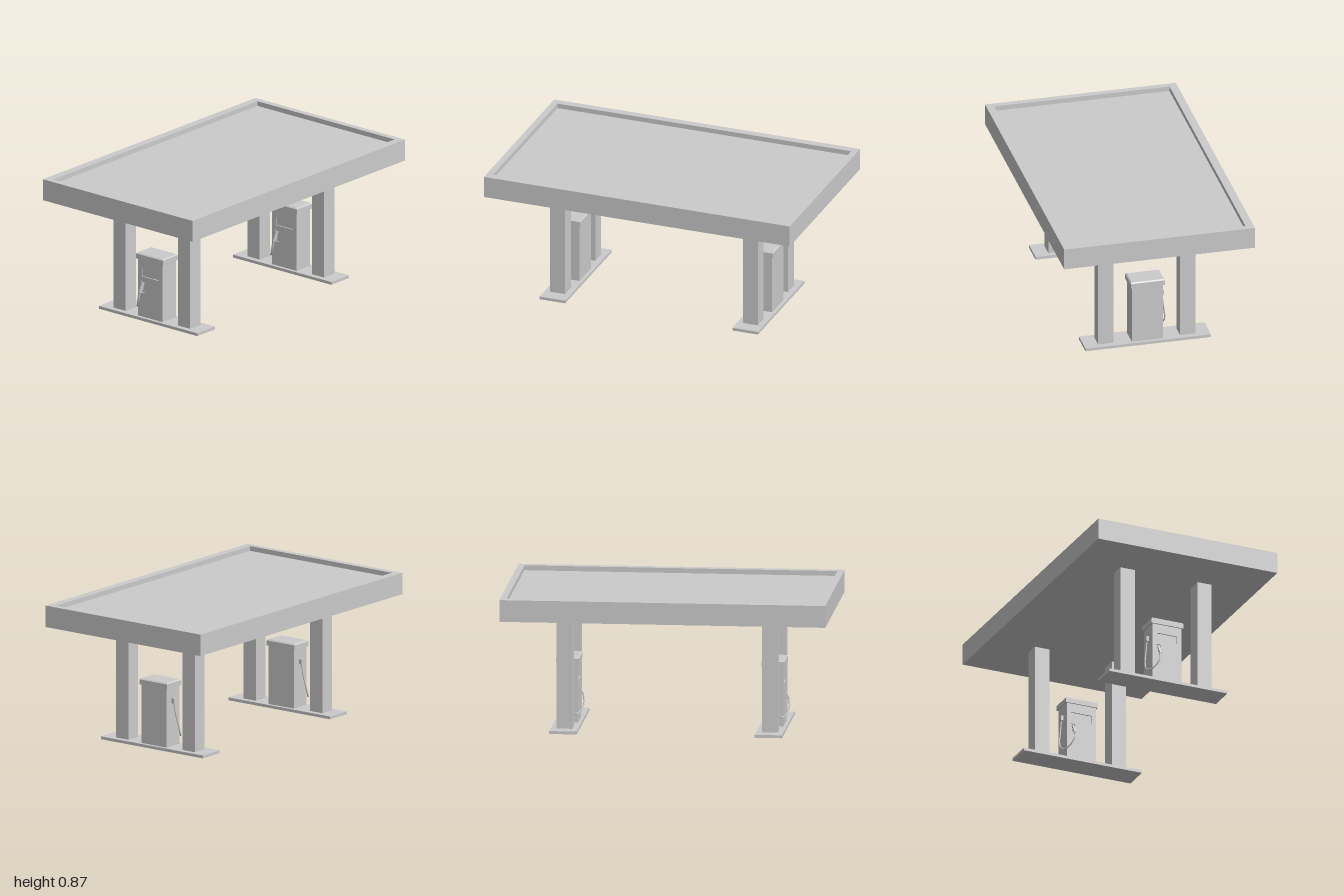
import * as THREE from 'three';

const material = new THREE.MeshStandardMaterial({ color: 0xcccccc });

function add(parent, name, geometry, x = 0, y = 0, z = 0) {
  const mesh = new THREE.Mesh(geometry, material);
  mesh.name = name;
  mesh.position.set(x, y, z);
  parent.add(mesh);
  return mesh;
}

// Box placed by its bottom height
function box(parent, name, w, h, d, x, y, z) {
  return add(parent, name, new THREE.BoxGeometry(w, h, d), x, y + h / 2, z);
}

// Closed rectangle from corner to corner
function rect(Type, x0, y0, x1, y1) {
  return new Type([[x0, y0], [x1, y0], [x1, y1], [x0, y1]].map(p => new THREE.Vector2(...p)));
}

// Rectangular plate with rectangular holes
function plate(outer, holes, depth) {
  const shape = rect(THREE.Shape, ...outer);
  shape.holes = holes.map(h => rect(THREE.Path, ...h));
  return new THREE.ExtrudeGeometry(shape, { depth, bevelEnabled: false });
}

function createCanopy() {
  const canopy = new THREE.Group();
  canopy.name = 'canopy';
  box(canopy, 'canopyRoof', 1.2, 0.105, 2, 0, 0.73, 0);
  const rim = plate([-0.6, -1, 0.6, 1], [[-0.55, -0.96, 0.55, 0.96]], 0.03);
  add(canopy, 'canopyRim', rim.rotateX(-Math.PI / 2), 0, 0.835, 0);
  return canopy;
}

function createPump() {
  const pump = new THREE.Group();
  pump.name = 'pump';

  // Cabinet with a front panel recessed for the display and the nozzle
  box(pump, 'pumpBody', 0.196, 0.369, 0.118, 0, 0.018, -0.004);
  const front = plate([-0.098, 0.018, 0.098, 0.387],
    [[-0.068, 0.277, 0.068, 0.329], [-0.072, 0.173, -0.043, 0.252]], 0.008);
  add(pump, 'pumpFrontPanel', front, 0, 0, 0.055);

  // Cap with a chamfered top
  box(pump, 'pumpCap', 0.214, 0.031, 0.142, 0, 0.387, 0);
  const top = new THREE.BoxGeometry(0.214, 0.007, 0.142);
  const pos = top.attributes.position;
  for (let i = 0; i < pos.count; i++) {
    if (pos.getY(i) > 0) {
      pos.setX(i, Math.sign(pos.getX(i)) * 0.1);
      pos.setZ(i, Math.sign(pos.getZ(i)) * 0.064);
    }
  }
  top.computeVertexNormals();
  add(pump, 'pumpCapTop', top, 0, 0.4215, 0);

  // Nozzle hanging at a slant, with its trigger
  const nozzle = box(pump, 'nozzle', 0.012, 0.068, 0.011, -0.057, 0.177, 0.077);
  nozzle.rotation.x = -0.5;
  const trigger = box(pump, 'nozzleTrigger', 0.006, 0.034, 0.004, -0.057, 0.182, 0.067);
  trigger.rotation.x = -0.2;

  // Side bracket and the hose looping down to the nozzle
  box(pump, 'hoseBracket', 0.018, 0.032, 0.026, -0.107, 0.288, 0);
  const path = new THREE.CatmullRomCurve3([
    [-0.106, 0.295, 0], [-0.117, 0.21, 0.008], [-0.129, 0.13, 0.022],
    [-0.128, 0.09, 0.036], [-0.113, 0.075, 0.056], [-0.09, 0.092, 0.079],
    [-0.066, 0.135, 0.097], [-0.057, 0.185, 0.092],
  ].map(p => new THREE.Vector3(...p)));
  add(pump, 'hose', new THREE.TubeGeometry(path, 40, 0.0045, 8));
  return pump;
}

function createIsland(z) {
  const island = new THREE.Group();
  island.name = 'island';
  box(island, 'islandBase', 0.79, 0.018, 0.168, 0, 0, 0);
  for (const side of [-1, 1]) {
    box(island, 'column', 0.097, 0.712, 0.097, side * 0.258, 0.018, 0);
  }
  island.add(createPump());
  island.position.z = z;
  return island;
}

export function createModel() {
  const model = new THREE.Group();
  model.name = 'fuelStation';
  model.add(createCanopy(), createIsland(0.63), createIsland(-0.63));
  return model;
}
